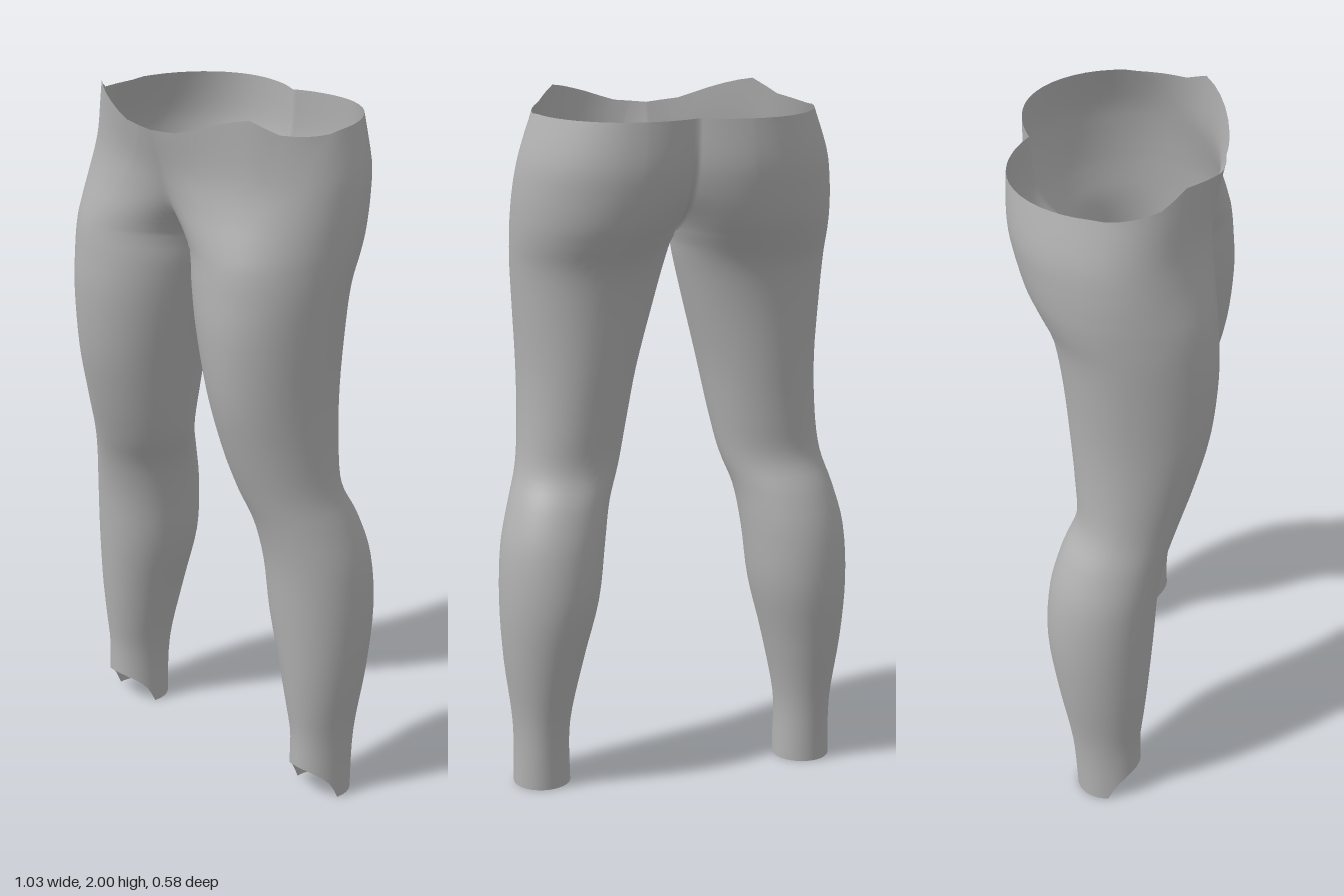
import * as THREE from 'three';
import { mergeVertices } from 'three/addons/utils/BufferGeometryUtils.js';

// Left half sections: height, outer x, inner x (below 0 = legs joined),
// front crest x, back crest x, front z, back z, z of the widest point
const SECTIONS = [
  [0.00, 0.48, 0.315, 0.40, 0.40, 0.10, -0.085, 0.00],
  [0.18, 0.48, 0.315, 0.40, 0.40, 0.10, -0.10, 0.00],
  [0.38, 0.505, 0.275, 0.39, 0.39, 0.118, -0.14, -0.01],
  [0.56, 0.516, 0.23, 0.37, 0.37, 0.132, -0.17, -0.015],
  [0.72, 0.508, 0.21, 0.36, 0.36, 0.143, -0.163, -0.01],
  [0.84, 0.48, 0.19, 0.34, 0.34, 0.165, -0.132, 0.01],
  [0.94, 0.451, 0.155, 0.31, 0.31, 0.197, -0.092, 0.04],
  [1.06, 0.439, 0.128, 0.29, 0.29, 0.235, -0.097, 0.06],
  [1.22, 0.436, 0.095, 0.28, 0.27, 0.274, -0.113, 0.07],
  [1.40, 0.445, 0.05, 0.27, 0.25, 0.291, -0.135, 0.06],
  [1.52, 0.452, 0.02, 0.26, 0.23, 0.287, -0.162, 0.05],
  [1.60, 0.455, 0.00, 0.25, 0.21, 0.28, -0.205, 0.03],
  [1.66, 0.455, -0.05, 0.22, 0.19, 0.271, -0.238, 0.02],
  [1.74, 0.45, -0.16, 0.17, 0.17, 0.257, -0.266, 0.01],
  [1.83, 0.435, -0.24, 0.10, 0.16, 0.256, -0.284, 0.00],
  [1.95, 0.395, -0.30, 0.05, 0.15, 0.28, -0.284, 0.00],
];
const STEPS = 4, ARC = 12;
const { clamp, smoothstep } = THREE.MathUtils;

// Front waistband height over x, with a small notch near each hip
const WAIST = [[0, 1.93], [0.1, 1.94], [0.2, 1.975], [0.28, 1.997], [0.308, 2.0], [0.335, 1.963], [0.4, 1.945]];
function waistHeight(x) {
  for (let i = 1; i < WAIST.length; i++) {
    const [x0, y0] = WAIST[i - 1], [x1, y1] = WAIST[i];
    if (x <= x1) return y0 + (y1 - y0) * (x - x0) / (x1 - x0);
  }
  return 1.95;
}

// One open ring, from the inner front around the outside to the inner back
function ring([y, xo, xi, cF, cB, zf, zb, zc]) {
  const flat = [];
  const innerArc = (c, inner, z) => {
    const end = inner >= 0 ? Math.PI / 2 : Math.asin(c / (c - inner));
    return Array.from({ length: ARC + 1 }, (_, i) => {
      const a = end * i / ARC;
      const x = i === ARC ? Math.max(inner, 0) : c - (c - inner) * Math.sin(a);
      return [x, zc + (z - zc) * (i === ARC && inner >= 0 ? 0 : Math.cos(a))];
    });
  };
  const outerArc = (c, z) => Array.from({ length: ARC + 1 }, (_, i) => {
    const a = Math.PI / 2 * i / ARC;
    return [c + (xo - c) * Math.sin(a), zc + (z - zc) * Math.cos(a)];
  });
  flat.push(...innerArc(cF, xi, zf).reverse(), ...outerArc(cF, zf).slice(1),
    ...outerArc(cB, zb).reverse().slice(1), ...innerArc(cB, xi < 0 ? xi * 0.5 : xi, zb).slice(1));
  return flat.map(([x, z]) => {
    // arched ankle hem at the front, shaped waistband at the top
    const arch = 0.1 * Math.sqrt(clamp((z - 0.02) / 0.08, 0, 1));
    const hem = arch * clamp(1 - y / 0.25, 0, 1);
    const band = z > 0 ? (waistHeight(x) - 1.95) * smoothstep(y, 1.74, 1.95) : 0;
    return [x, y + hem + band, z];
  });
}

// Smoothly interpolated sections
function sampleSections() {
  const columns = SECTIONS[0].map((_, k) =>
    new THREE.SplineCurve(SECTIONS.map((s) => new THREE.Vector2(s[k], 0))));
  const count = (SECTIONS.length - 1) * STEPS;
  return Array.from({ length: count + 1 }, (_, i) => columns.map((c) => c.getPoint(i / count).x));
}

function leggingsGeometry() {
  const rings = sampleSections().map(ring);
  const n = rings[0].length, positions = [], indices = [];
  for (const side of [1, -1]) {
    const base = positions.length / 3;
    for (const r of rings) for (const [x, y, z] of r) positions.push(x < 1e-5 ? 0 : side * x, y, z);
    for (let i = 0; i < rings.length - 1; i++) {
      for (let j = 0; j < n - 1; j++) {
        const a = base + i * n + j, b = a + 1, c = a + n, d = c + 1;
        if (side > 0) indices.push(a, b, d, a, d, c);
        else indices.push(a, d, b, a, c, d);
      }
    }
  }
  const geometry = new THREE.BufferGeometry();
  geometry.setAttribute('position', new THREE.Float32BufferAttribute(positions, 3));
  geometry.setIndex(indices);
  // weld the centre seam and inner legs so shading runs across them
  const welded = mergeVertices(geometry, 1e-4);
  welded.computeVertexNormals();
  return welded;
}

export function createModel() {
  const fabric = new THREE.MeshStandardMaterial({ color: 0xb0b0b0 });
  fabric.name = 'grey fabric';
  fabric.side = THREE.DoubleSide;
  const leggings = new THREE.Mesh(leggingsGeometry(), fabric);
  leggings.name = 'leggings';
  const group = new THREE.Group();
  group.name = 'leggingsModel';
  group.add(leggings);
  return group;
}
